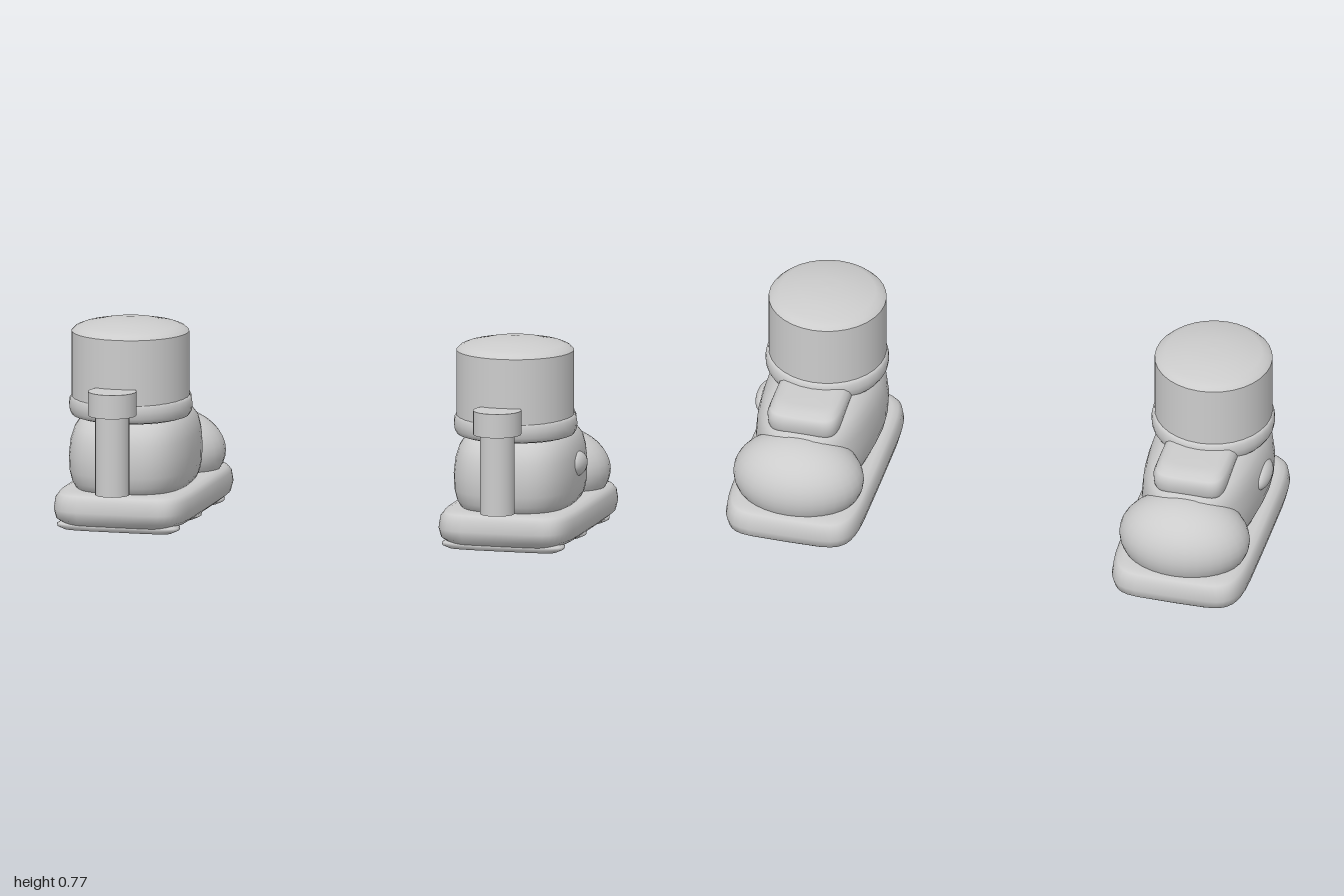
import * as THREE from 'three';

const grey = new THREE.MeshStandardMaterial({ color: 0xcccccc });
grey.name = 'light grey';

// Closed solid lofted upward through superelliptic sections [y, halfWidth, zMin, zMax]
function loft(sections, power, narrow = () => 1, sides = 40) {
  const pos = [], idx = [];
  const curve = v => Math.sign(v) * Math.pow(Math.abs(v), 2 / power);
  for (const [y, w, z0, z1] of sections) {
    for (let j = 0; j < sides; j++) {
      const t = (j / sides) * Math.PI * 2;
      const z = (z0 + z1) / 2 + curve(Math.sin(t)) * (z1 - z0) / 2;
      pos.push(w * curve(Math.cos(t)) * narrow(z), y, z);
    }
  }
  const last = sections.length - 1, base = sections.length * sides;
  for (const [y, , z0, z1] of [sections[0], sections[last]]) pos.push(0, y, (z0 + z1) / 2);
  for (let j = 0; j < sides; j++) {
    const k = (j + 1) % sides;
    for (let i = 0; i < last; i++) {
      const a = i * sides + j, b = i * sides + k;
      idx.push(a, a + sides, b, b, a + sides, b + sides);
    }
    idx.push(base, j, k, base + 1, last * sides + k, last * sides + j);
  }
  const g = new THREE.BufferGeometry();
  g.setAttribute('position', new THREE.Float32BufferAttribute(pos, 3));
  g.setIndex(idx);
  g.computeVertexNormals();
  return g;
}

const lathe = points =>
  new THREE.LatheGeometry(points.map(([r, y]) => new THREE.Vector2(r, y)), 32);

function makeBoot(side) {
  const boot = new THREE.Group();
  boot.name = side > 0 ? 'leftBoot' : 'rightBoot';
  const add = (name, geometry, x = 0, y = 0, z = 0) => {
    const mesh = new THREE.Mesh(geometry, grey);
    mesh.name = name;
    mesh.position.set(x, y, z);
    boot.add(mesh);
    return mesh;
  };
  const ellipsoid = (name, rx, ry, rz, x, y, z) =>
    add(name, new THREE.SphereGeometry(1, 32, 20), x, y, z).scale.set(rx, ry, rz);

  // Thick sole with rounded rim
  add('sole', loft([
    [0.023, 0.2, -0.43, 0.34], [0.025, 0.228, -0.455, 0.37], [0.045, 0.252, -0.48, 0.4],
    [0.08, 0.26, -0.49, 0.41], [0.12, 0.255, -0.482, 0.402], [0.138, 0.242, -0.47, 0.39],
    [0.145, 0.222, -0.45, 0.37], [0.146, 0.19, -0.42, 0.34],
  ], 6));

  // Tread bars
  for (const z of [0.31, 0.005, -0.317]) {
    add('treadBar', loft([
      [0.002, 0.18, -0.03, 0.03], [0.004, 0.205, -0.045, 0.045],
      [0.015, 0.23, -0.057, 0.057], [0.026, 0.232, -0.057, 0.057], [0.04, 0.21, -0.045, 0.045],
    ], 4), 0, 0, z);
  }

  // Foot body, narrowing towards the toe
  add('footBody', loft([
    [0.14, 0.205, -0.28, 0.335], [0.17, 0.219, -0.29, 0.353], [0.21, 0.228, -0.295, 0.363],
    [0.27, 0.23, -0.295, 0.367], [0.33, 0.224, -0.29, 0.358], [0.37, 0.212, -0.28, 0.34],
    [0.4, 0.193, -0.245, 0.315], [0.42, 0.165, -0.19, 0.28], [0.43, 0.13, -0.13, 0.23],
  ], 3, z => 1 - 0.12 * THREE.MathUtils.clamp((0.1 - z) / 0.35, 0, 1)));

  ellipsoid('toeCap', 0.246, 0.165, 0.186, 0, 0.21, -0.28);

  // Tongue pad
  add('tongue', loft([
    [0.36, 0.13, -0.25, 0.05], [0.395, 0.138, -0.264, 0.05], [0.43, 0.14, -0.268, 0.05],
    [0.452, 0.132, -0.258, 0.05], [0.465, 0.115, -0.23, 0.05], [0.469, 0.09, -0.19, 0.05],
  ], 5));

  // Ankle cuff, shaft and domed top
  add('cuff', lathe([
    [0, 0.41], [0.2, 0.41], [0.218, 0.416], [0.227, 0.432], [0.23, 0.455],
    [0.227, 0.476], [0.22, 0.488], [0.2, 0.49], [0, 0.49],
  ]), 0, 0, 0.14);
  add('shaft', lathe([[0.219, 0.48], [0.219, 0.73]]), 0, 0, 0.145);
  add('shaftTop', lathe([
    [0.219, 0.73], [0.205, 0.744], [0.18, 0.754], [0.11, 0.769], [0.05, 0.774], [0, 0.775],
  ]), 0, 0, 0.145);

  // Heel post with a wider head
  add('heelPost', new THREE.CylinderGeometry(0.064, 0.064, 0.31, 24), 0, 0.31, 0.4);
  add('heelPostHead', new THREE.CylinderGeometry(0.09, 0.09, 0.09, 24), 0, 0.5, 0.4);

  // Oval stud on the outer side
  ellipsoid('sideStud', 0.035, 0.046, 0.082, side * 0.212, 0.293, 0.054);

  boot.position.x = side * 0.74;
  return boot;
}

export function createModel() {
  const model = new THREE.Group();
  model.name = 'pairOfBoots';
  model.add(makeBoot(1), makeBoot(-1));
  return model;
}
